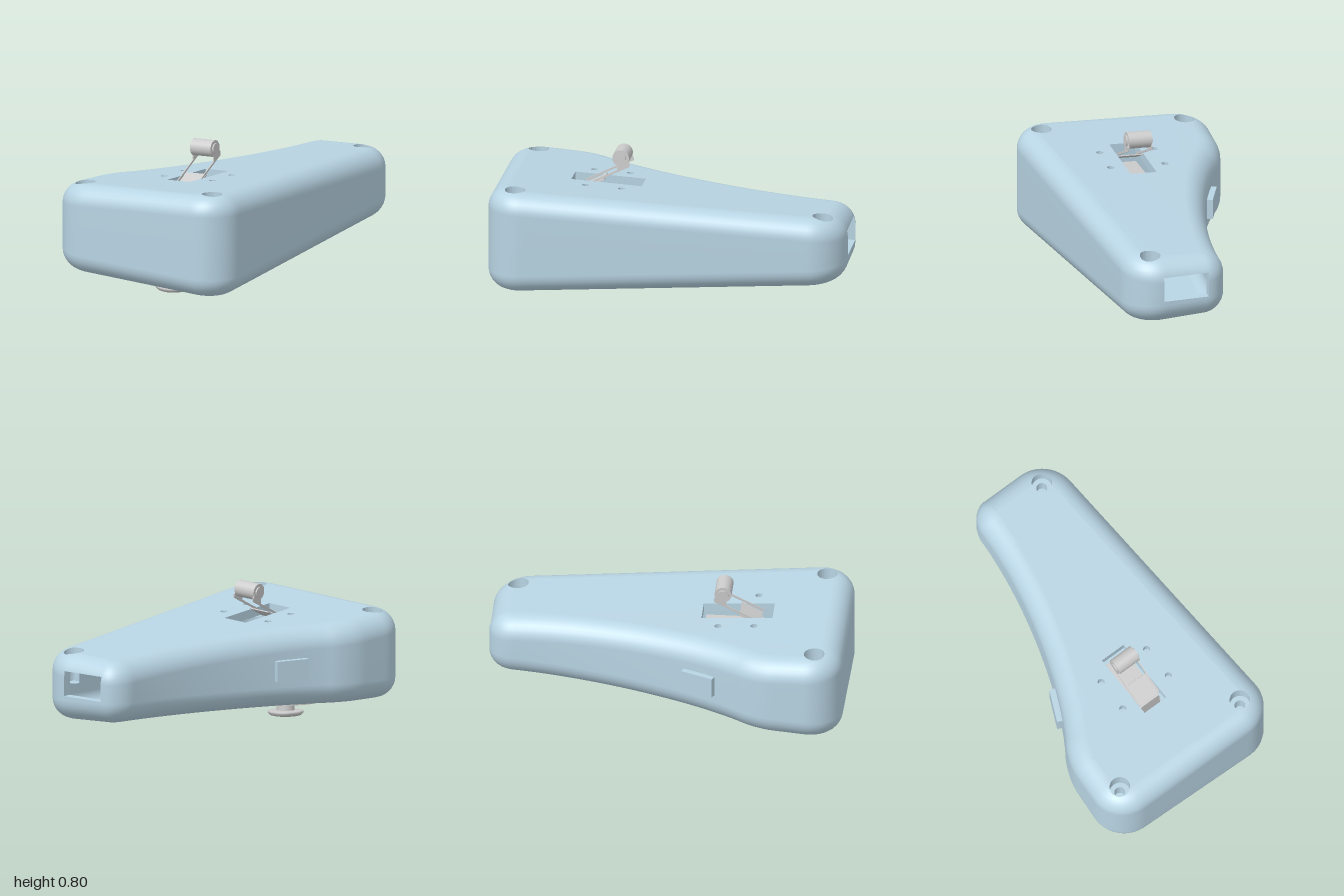
import * as THREE from 'three';

const V = (x, y, z) => new THREE.Vector3(x, y, z);
const UP = V(0, 1, 0), DOWN = V(0, -1, 0);
const EDGE = 0.115, WALL = 0.05;

// Sloping top and bottom planes of the case
const topY = (x, z) => 0.593 + 0.048 * x + 0.053 * z;
const botY = (x, z) => 0.744 - topY(x, z);

// Plan outline of the case in (x, z), with outward normals
function planOutline() {
  const path = new THREE.Path();
  const corner = (cx, cz, x, z) => {
    const s = path.currentPoint, k = 0.55;
    path.bezierCurveTo(s.x + (cx - s.x) * k, s.y + (cz - s.y) * k,
      x + (cx - x) * k, z + (cz - z) * k, x, z);
  };
  path.moveTo(0.27, -1);
  corner(0.463, -1, 0.472, -0.8);
  path.lineTo(0.555, 0.8);
  corner(0.563, 1, 0.36, 1);
  path.lineTo(-0.36, 1);
  corner(-0.566, 1, -0.56, 0.8);
  path.lineTo(-0.548, 0.62);
  corner(-0.54, 0.5, -0.47, 0.41);
  path.bezierCurveTo(-0.29, 0.13, -0.12, -0.4, -0.1, -0.85);
  corner(-0.1, -1, 0.02, -1);
  path.lineTo(0.27, -1);
  const pts = path.getSpacedPoints(260);
  pts.pop();
  return pts.map((p, i) => {
    const t = pts[(i + 1) % pts.length].clone().sub(pts.at(i - 1)).normalize();
    return { p, n: new THREE.Vector2(t.y, -t.x) };
  });
}

// Closed, edge-rounded skin inset by w, as a list of triangles of {p, n}
function skin(outline, w, flip) {
  const K = 8, r = EDGE - w, N = outline.length, pos = [], index = [];
  const ring = (inset, y) => outline.forEach(({ p, n }) => {
    const x = p.x - n.x * inset, z = p.y - n.y * inset;
    pos.push(x, y(x, z), z);
  });
  for (let j = 0; j < 2 * (K + 1); j++) {
    const low = j <= K, t = (low ? j : 2 * K + 1 - j) / K * Math.PI / 2;
    const rise = w + r * (1 - Math.cos(t));
    // sin for inset and cos for height give a quarter-round
    ring(w + r * (1 - Math.sin(t)), (x, z) => low ? botY(x, z) + rise : topY(x, z) - rise);
  }
  const face = (a, b, c) => flip ? index.push(a, c, b) : index.push(a, b, c);
  const rings = 2 * (K + 1);
  for (let j = 0; j < rings - 1; j++) for (let i = 0; i < N; i++) {
    const a = j * N + i, b = j * N + (i + 1) % N;
    face(a, a + N, b);
    face(b, a + N, b + N);
  }
  const last = (rings - 1) * N;
  const rim = outline.map(({ p, n }) => p.clone().addScaledVector(n, -EDGE));
  for (const [a, b, c] of THREE.ShapeUtils.triangulateShape(rim, [])) {
    const ccw = (rim[b].x - rim[a].x) * (rim[c].y - rim[a].y) - (rim[b].y - rim[a].y) * (rim[c].x - rim[a].x) > 0;
    const [u, v] = ccw ? [c, b] : [b, c];
    face(last + a, last + u, last + v);
    face(a, v, u);
  }
  const g = new THREE.BufferGeometry();
  g.setAttribute('position', new THREE.Float32BufferAttribute(pos, 3));
  g.setIndex(index);
  g.computeVertexNormals();
  const P = g.attributes.position, Q = g.attributes.normal, tris = [];
  const vert = (i) => ({ p: V().fromBufferAttribute(P, i), n: V().fromBufferAttribute(Q, i) });
  for (let i = 0; i < index.length; i += 3) tris.push([0, 1, 2].map((k) => vert(index[i + k])));
  return tris;
}

const fan = (poly, out) => {
  for (let i = 1; i < poly.length - 1; i++) out.push([poly[0], poly[i], poly[i + 1]]);
};

// Cut a convex opening along "into"; "end" places the far rim of its walls
function cut(tris, loop, into, end, floor) {
  const mid = loop.reduce((s, v) => s.add(v), V()).divideScalar(loop.length);
  const planes = loop.map((a, i) => {
    const n = loop[(i + 1) % loop.length].clone().sub(a).cross(into).normalize();
    if (n.dot(mid.clone().sub(a)) < 0) n.negate();
    return new THREE.Plane().setFromNormalAndCoplanarPoint(n, a);
  });
  const out = [];
  for (const tri of tris) {
    if (!tri.every((v) => v.n.dot(into) < -0.05) ||
      planes.some((pl) => tri.every((v) => pl.distanceToPoint(v.p) <= 1e-7))) { out.push(tri); continue; }
    let poly = tri;
    for (const pl of planes) {
      const inside = [], outside = [];
      poly.forEach((a, i) => {
        const b = poly[(i + 1) % poly.length];
        const da = pl.distanceToPoint(a.p), db = pl.distanceToPoint(b.p);
        (da >= 0 ? inside : outside).push(a);
        if ((da >= 0) !== (db >= 0)) {
          const t = da / (da - db);
          const m = { p: a.p.clone().lerp(b.p, t), n: a.n.clone().lerp(b.n, t).normalize() };
          inside.push(m);
          outside.push(m);
        }
      });
      fan(outside, out);
      poly = inside;
      if (poly.length < 3) break;
    }
    if (poly.length < 3 || !end) continue;
    poly.forEach((a, i) => {
      const b = poly[(i + 1) % poly.length];
      const pl = planes.find((q) => Math.abs(q.distanceToPoint(a.p)) < 1e-6 && Math.abs(q.distanceToPoint(b.p)) < 1e-6);
      if (pl) fan([a.p, b.p, end(b.p), end(a.p)].map((p) => ({ p, n: pl.normal })), out);
    });
    if (floor) fan(poly.map((v) => ({ p: end(v.p), n: into.clone().negate() })), out);
  }
  return out;
}

function toGeometry(tris) {
  const g = new THREE.BufferGeometry(), all = tris.flat();
  g.setAttribute('position', new THREE.Float32BufferAttribute(all.flatMap((v) => v.p.toArray()), 3));
  g.setAttribute('normal', new THREE.Float32BufferAttribute(all.flatMap((v) => v.n.toArray()), 3));
  return g;
}

const rect = (x0, x1, z0, z1) => [V(x0, 0, z0), V(x1, 0, z0), V(x1, 0, z1), V(x0, 0, z1)];
const circle = (x, z, r, n = 28) => Array.from({ length: n }, (_, i) =>
  V(x + r * Math.cos(i / n * 2 * Math.PI), 0, z + r * Math.sin(i / n * 2 * Math.PI)));

export function createModel() {
  const model = new THREE.Group();
  const blue = new THREE.MeshStandardMaterial({ color: 0xb8d4e3 });
  const grey = new THREE.MeshStandardMaterial({ color: 0xcccccc });
  const add = (parent, name, geo, mat, x = 0, y = 0, z = 0) => {
    const m = new THREE.Mesh(geo, mat);
    m.name = name;
    m.position.set(x, y, z);
    parent.add(m);
    return m;
  };

  // Hollow case with its openings
  const outline = planOutline();
  let outer = skin(outline, 0, false), inner = skin(outline, WALL, true);
  const through = (loop, into) => {
    outer = cut(outer, loop, into, (p) => p.clone().addScaledVector(into, WALL));
    inner = cut(inner, loop, into.clone().negate());
  };
  through(rect(-0.05, 0.1, 0.185, 0.58), DOWN);
  for (const x of [-0.13, 0.185]) for (const z of [0.285, 0.485]) through(circle(x, z, 0.02, 16), DOWN);
  through(rect(-0.178, 0.167, 0.42, 0.765), UP);
  through([V(0.02, 0.33, 0), V(0.28, 0.33, 0), V(0.28, 0.47, 0), V(0.02, 0.47, 0)], V(0, 0, 1));

  // Counterbored screw holes
  for (const [x, z] of [[-0.42, 0.845], [0.41, 0.845], [0.32, -0.865]])
    for (const [r, depth] of [[0.057, 0.09], [0.03, 0.18]])
      outer = cut(outer, circle(x, z, r), DOWN, (p) => V(p.x, topY(p.x, p.z) - depth, p.z), true);
  add(model, 'caseOuter', toGeometry(outer), blue);
  add(model, 'caseInner', toGeometry(inner), blue);

  // Side button on the concave flank
  add(model, 'sideButton', new THREE.BoxGeometry(0.1, 0.115, 0.195), blue, -0.343, 0.372, 0.208).rotation.y = -0.42;

  // Roller lever switch in the top slot
  const lever = new THREE.Group();
  lever.name = 'rollerSwitch';
  lever.position.x = 0.056;
  lever.rotation.z = 0.048;
  model.add(lever);
  const arm = new THREE.Shape([[0.52, 0.578], [0.33, 0.673], [0.255, 0.71], [0.255, 0.73], [0.28, 0.765],
    [0.325, 0.765], [0.325, 0.688], [0.52, 0.59]].map((p) => new THREE.Vector2(...p)));
  const armGeo = new THREE.ExtrudeGeometry(arm, { depth: 0.006, bevelEnabled: false }).rotateY(-Math.PI / 2);
  for (const x of [-0.064, 0.07]) add(lever, 'leverArm', armGeo, grey, x);
  add(lever, 'leverPlate', new THREE.BoxGeometry(0.134, 0.006, 0.13), grey, 0, 0.6, 0.455).rotation.x = 0.46;
  add(lever, 'roller', new THREE.CylinderGeometry(0.047, 0.047, 0.136, 40).rotateZ(Math.PI / 2), grey, 0, 0.757, 0.305);
  add(lever, 'rollerPin', new THREE.CylinderGeometry(0.03, 0.03, 0.152, 32).rotateZ(Math.PI / 2), grey, 0, 0.757, 0.305);
  add(lever, 'switchBody', new THREE.BoxGeometry(0.13, 0.16, 0.32), grey, 0, 0.46, 0.36);

  // Thumb stick under the case, square to the bottom plane
  const stick = new THREE.Group();
  stick.name = 'thumbStick';
  stick.position.set(-0.003, 0.12, 0.595);
  stick.quaternion.setFromUnitVectors(DOWN, V(-0.048, -1, -0.053).normalize());
  model.add(stick);
  const turned = (name, pts) => add(stick, name,
    new THREE.LatheGeometry(pts.map((p) => new THREE.Vector2(...p)), 48), grey);
  add(stick, 'stickHousing', new THREE.BoxGeometry(0.3, 0.1, 0.3), grey, 0, 0.06, 0);
  turned('stickDisc', [[0, -0.036], [0.18, -0.036], [0.18, -0.036], [0.18, -0.014], [0.18, -0.014], [0.15, 0.015], [0, 0.015]]);
  add(stick, 'stickStem', new THREE.CylinderGeometry(0.05, 0.05, 0.06, 40), grey, 0, -0.062, 0);
  turned('stickCap', [[0, -0.113], [0.07, -0.113], [0.088, -0.108], [0.098, -0.097], [0.1, -0.088],
    [0.095, -0.084], [0.05, -0.082], [0, -0.082]]);
  return model;
}
